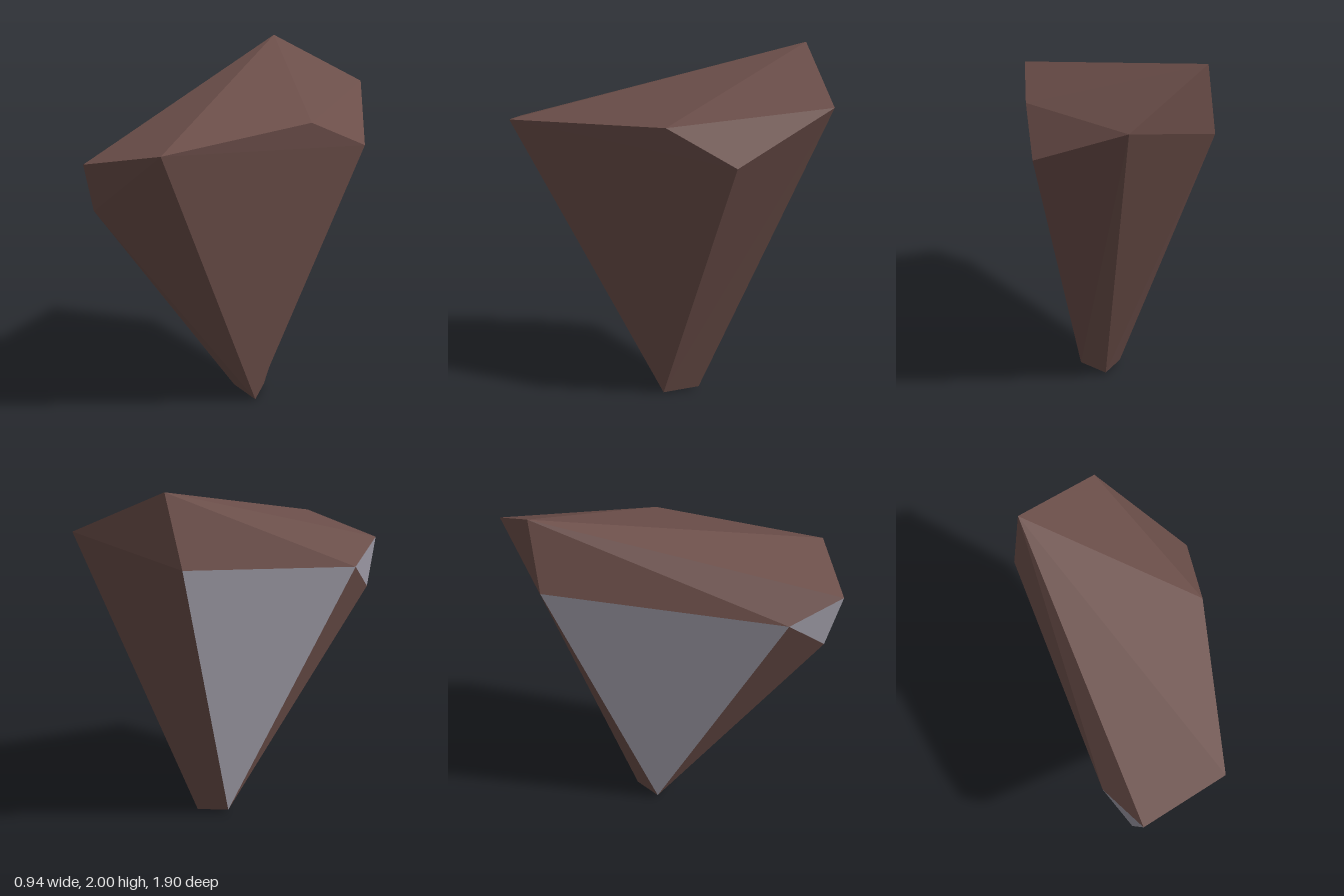
import * as THREE from 'three';

// Corners of the faceted shard
const corners = {
  peak: [-0.41, 2, -0.69],
  back: [0.06, 1.75, -0.95],
  backRight: [-0.475, 1.6, -0.63],
  leftTop: [0.435, 1.67, -0.13],
  leftBack: [0.47, 1.49, -0.53],
  frontLeft: [0.285, 1.61, 0.82],
  nose: [-0.185, 1.51, 0.95],
  chin: [-0.22, 1.235, 0.86],
  frontRight: [-0.33, 1.4, 0.67],
  tipLeft: [0.12, 0, -0.02],
  tipRight: [-0.105, 0.015, -0.065],
  tipBack: [0.01, 0.015, -0.2],
};

const stoneFaces = [
  // sloping top
  'peak nose frontLeft', 'peak frontLeft leftTop', 'peak leftTop back', 'leftTop leftBack back',
  // left side
  'frontLeft tipLeft leftBack', 'frontLeft leftBack leftTop',
  // back
  'leftBack tipLeft back', 'tipLeft tipBack back', 'backRight back peak',
  'backRight back tipBack', 'backRight tipBack tipRight',
  // front
  'chin nose frontLeft', 'chin frontLeft tipLeft', 'chin tipLeft tipRight', 'chin tipRight frontRight',
  // right side and underside
  'frontRight peak backRight', 'frontRight peak nose', 'tipLeft tipRight tipBack',
];
const mineralFaces = ['tipRight backRight frontRight', 'nose frontRight chin'];

// Builds flat triangles, each turned to face away from the middle of the shard
function facets(faces) {
  const middle = new THREE.Vector3(0, 1.2, 0);
  const points = [];
  for (const face of faces) {
    const [a, b, c] = face.split(' ').map((n) => new THREE.Vector3(...corners[n]));
    const normal = b.clone().sub(a).cross(c.clone().sub(a));
    const outward = normal.dot(a.clone().sub(middle)) > 0;
    points.push(...(outward ? [a, b, c] : [a, c, b]));
  }
  const geometry = new THREE.BufferGeometry().setFromPoints(points);
  geometry.computeVertexNormals();
  return geometry;
}

export function createModel() {
  const brownStone = new THREE.MeshStandardMaterial({ color: 0x6b4e49 });
  brownStone.name = 'brown stone';
  const greyMineral = new THREE.MeshStandardMaterial({ color: 0x9c99a4 });
  greyMineral.name = 'grey mineral';

  const group = new THREE.Group();
  group.name = 'rockShard';
  const add = (name, faces, material) => {
    const mesh = new THREE.Mesh(facets(faces), material);
    mesh.name = name;
    group.add(mesh);
  };
  add('stoneBody', stoneFaces, brownStone);
  add('mineralFacets', mineralFaces, greyMineral);
  return group;
}
